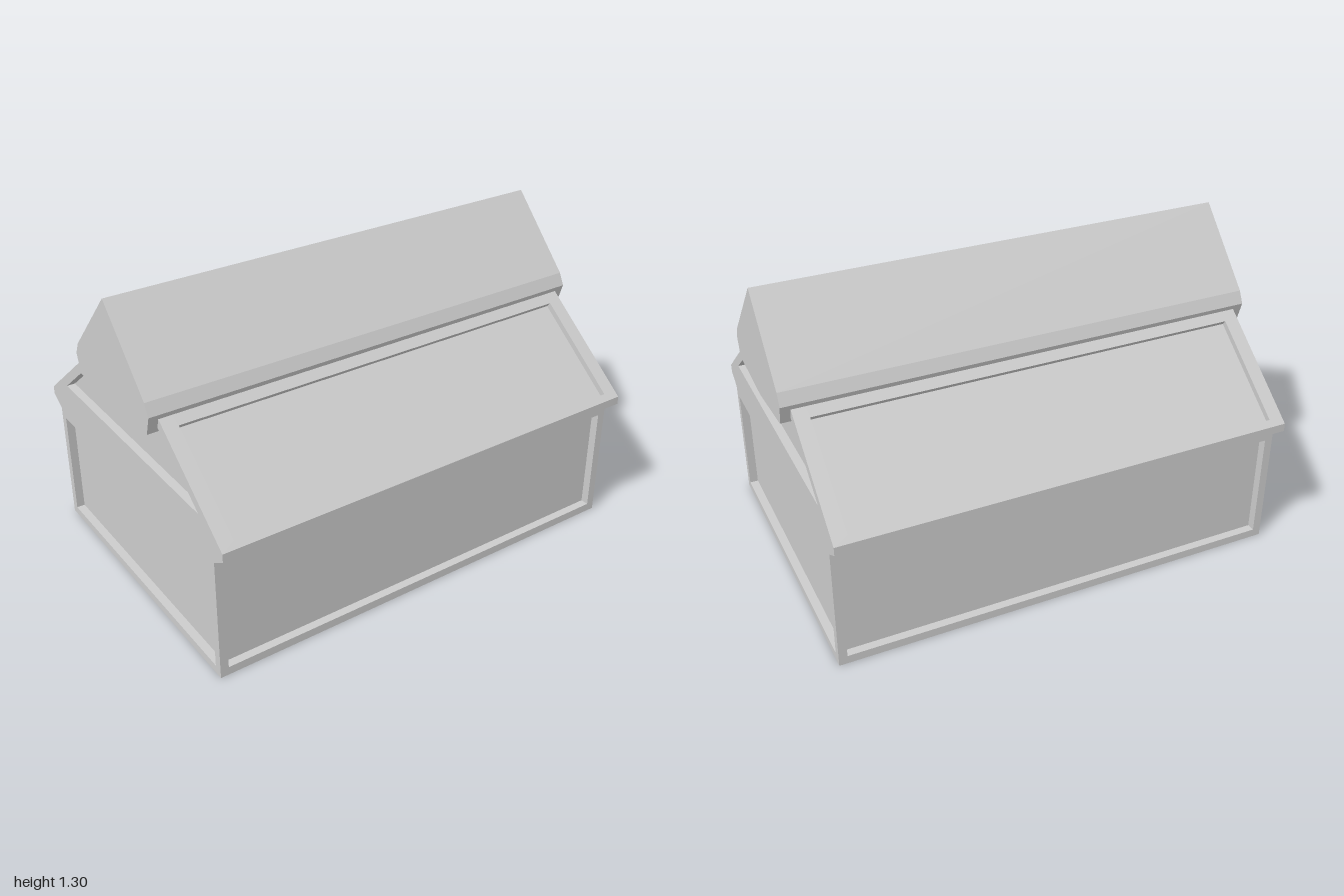
import * as THREE from 'three';

const material = new THREE.MeshStandardMaterial({ color: 0xcccccc, side: THREE.DoubleSide, flatShading: true });

const HALF_X = 0.96, HALF_Z = 0.655, WALL_TOP = 0.53;
const EAVE_Z = 0.72, EAVE_Y = 0.605, RIDGE_Y = 1.17;

const vectors = (pts) => pts.map(([x, y]) => new THREE.Vector2(x, y));
const rect = (w, y0, y1) => [[-w, y0], [w, y0], [w, y1], [-w, y1]];

function addMesh(parent, name, geometry) {
  const mesh = new THREE.Mesh(geometry, material);
  mesh.name = name;
  parent.add(mesh);
  return mesh;
}

// Ribbon of quads joining two matching rows of points
function ribbon(rowA, rowB) {
  const pos = [];
  for (let i = 0; i < rowA.length - 1; i++) {
    const a = rowA[i], b = rowA[i + 1], c = rowB[i + 1], d = rowB[i];
    pos.push(...a, ...b, ...c, ...a, ...c, ...d);
  }
  const geometry = new THREE.BufferGeometry();
  geometry.setAttribute('position', new THREE.Float32BufferAttribute(pos, 3));
  geometry.computeVertexNormals();
  return geometry;
}

// Thin flat face in the local xy plane with a panel sunk towards -z
function recessedFace(name, outer, inner, depth) {
  const group = new THREE.Group();
  group.name = name;
  const frame = new THREE.Shape(vectors(outer));
  frame.holes.push(new THREE.Path(vectors(inner)));
  addMesh(group, name + 'Frame', new THREE.ShapeGeometry(frame));
  addMesh(group, name + 'Panel', new THREE.ShapeGeometry(new THREE.Shape(vectors(inner)))).position.z = -depth;
  const loop = [...inner, inner[0]];
  addMesh(group, name + 'Lip', ribbon(
    loop.map(([x, y]) => [x, y, -depth]),
    loop.map(([x, y]) => [x, y, 0])));
  return group;
}

export function createModel() {
  const model = new THREE.Group();
  model.name = 'house';

  const slope = Math.atan2(RIDGE_Y - EAVE_Y, EAVE_Z);
  const slopeLength = Math.hypot(RIDGE_Y - EAVE_Y, EAVE_Z);
  const along = (z) => (EAVE_Z - z) / Math.cos(slope);

  for (const [side, turn] of [['front', 0], ['back', Math.PI]]) {
    const half = new THREE.Group();
    half.name = side + 'Side';
    half.rotation.y = turn;
    model.add(half);

    // Long wall
    const wall = recessedFace(side + 'Wall', rect(HALF_X, 0, WALL_TOP), rect(0.925, 0.035, 0.495), 0.035);
    wall.position.z = HALF_Z;
    half.add(wall);

    // Eave: soffit and fascia
    const eave = [[WALL_TOP, HALF_Z], [0.57, EAVE_Z], [EAVE_Y, EAVE_Z]];
    addMesh(half, side + 'Eave', ribbon(
      eave.map(([y, z]) => [HALF_X, y, z]),
      eave.map(([y, z]) => [-HALF_X, y, z])));

    // Roof slope, tilted back from the eave to the ridge
    const roof = recessedFace(side + 'Roof', rect(HALF_X, 0, slopeLength),
      rect(0.9, along(0.695), along(0.335)), 0.025);
    roof.position.set(0, EAVE_Y, EAVE_Z);
    roof.rotation.x = slope - Math.PI / 2;
    half.add(roof);
  }

  for (const [side, turn] of [['left', Math.PI / 2], ['right', -Math.PI / 2]]) {
    const end = new THREE.Group();
    end.name = side + 'End';
    end.rotation.y = turn;
    model.add(end);

    // End wall
    const wall = recessedFace(side + 'Wall', rect(HALF_Z, 0, WALL_TOP), rect(0.62, 0.035, 0.495), 0.035);
    // Gable with its triangular panel
    const gable = recessedFace(side + 'Gable',
      [[-HALF_Z, WALL_TOP], [HALF_Z, WALL_TOP], [EAVE_Z, 0.57], [EAVE_Z, EAVE_Y],
        [0, RIDGE_Y], [-EAVE_Z, EAVE_Y], [-EAVE_Z, 0.57]],
      [[-0.56, 0.68], [0.56, 0.68], [0, 1.12]], 0.035);
    wall.position.z = gable.position.z = HALF_X;
    end.add(wall, gable);
  }

  // Solid ridge cap running the full length
  const capHalf = [[0.28, 0.875], [0.305, 0.955], [0.28, 1.005]];
  const capOutline = [[0, 0.85], ...capHalf, [0, 1.3],
    ...capHalf.slice().reverse().map(([z, y]) => [-z, y])];
  const capGeometry = new THREE.ExtrudeGeometry(new THREE.Shape(vectors(capOutline)),
    { depth: 2, bevelEnabled: false });
  capGeometry.translate(0, 0, -1);
  addMesh(model, 'ridgeCap', capGeometry).rotation.y = Math.PI / 2;

  return model;
}
